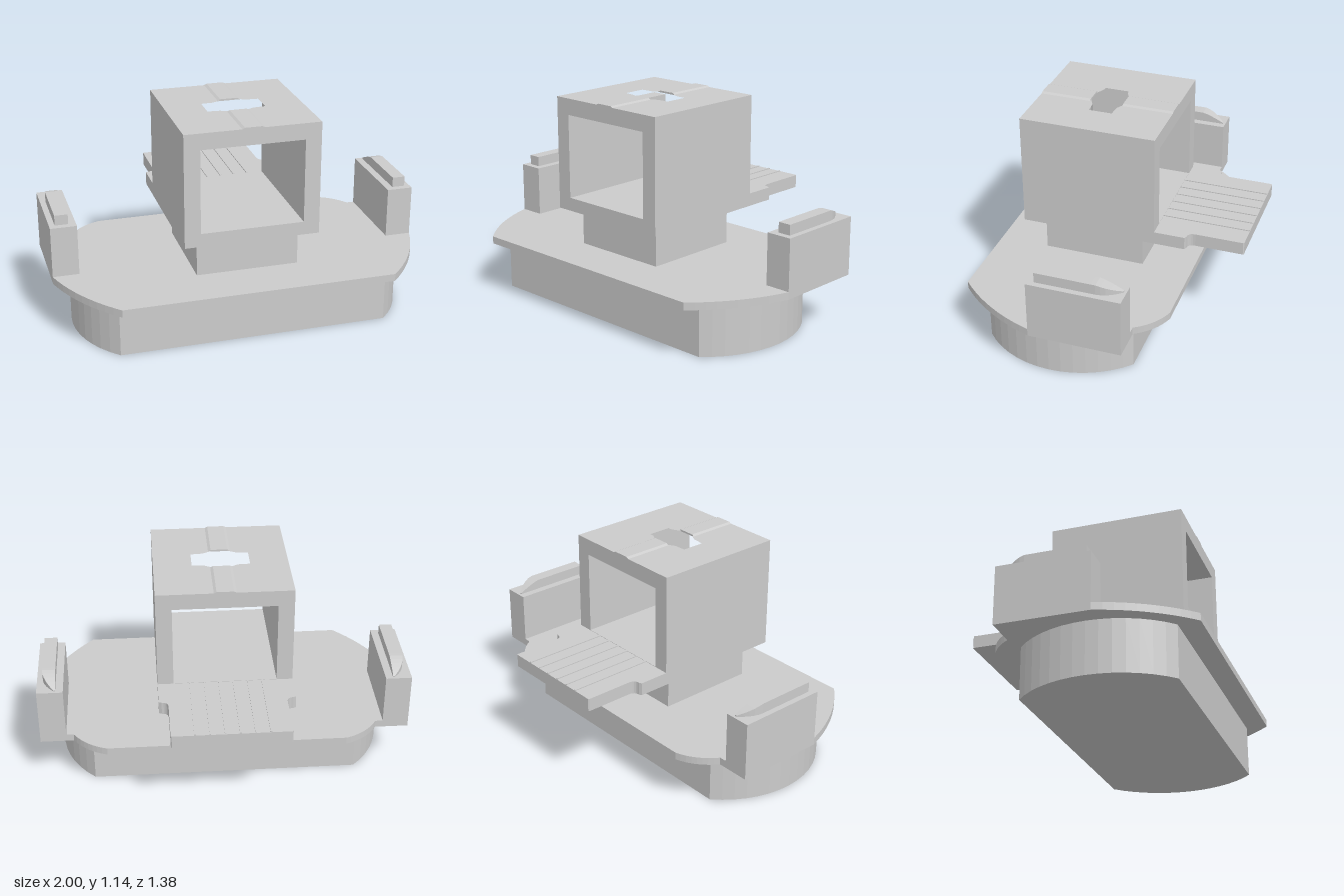
import * as THREE from 'three';

const material = new THREE.MeshStandardMaterial({ color: 0xcccccc, flatShading: true });

export function createModel() {
  const model = new THREE.Group();

  const add = (name, geometry) => {
    const mesh = new THREE.Mesh(geometry, material);
    mesh.name = name;
    model.add(mesh);
    return mesh;
  };

  // Box given by its lower and upper limits on each axis
  const box = (name, x0, x1, y0, y1, z0, z1) =>
    add(name, new THREE.BoxGeometry(x1 - x0, y1 - y0, z1 - z0)
      .translate((x0 + x1) / 2, (y0 + y1) / 2, (z0 + z1) / 2));

  // Plan outline (x, z) extruded from y0 up to y1
  const slab = (name, shape, y0, y1) =>
    add(name, new THREE.ExtrudeGeometry(shape, { depth: y1 - y0, bevelEnabled: false, curveSegments: 12 })
      .rotateX(Math.PI / 2).translate(0, y1, 0));

  // Closed outline mirrored across x = 0 from points on the +x side
  const mirrored = (half) => new THREE.Shape([
    ...half.map(([x, z]) => new THREE.Vector2(x, z)),
    ...half.slice().reverse().map(([x, z]) => new THREE.Vector2(-x, z)),
  ]);

  // Points along a quadratic curve from a to b, pulled towards c
  const bend = (a, c, b, n = 8) => new THREE.QuadraticBezierCurve(
    new THREE.Vector2(...a), new THREE.Vector2(...c), new THREE.Vector2(...b),
  ).getPoints(n).map((p) => [p.x, p.y]);

  // Plinth with bowed ends
  const ends = [];
  const sweep = Math.asin(0.4025 / 0.54);
  for (let i = 0; i <= 14; i++) {
    const a = sweep * (1 - i / 7);
    ends.push([0.36 + 0.54 * Math.cos(a), 0.172 + 0.54 * Math.sin(a)]);
  }
  slab('plinth', mirrored(ends), 0, 0.28);

  // Flange plate
  slab('flangePlate', mirrored([
    ...bend([0.725, 0.69], [0.92, 0.5], [1, 0.235], 10),
    [1, -0.26],
    ...bend([0.82, -0.26], [0.755, -0.365], [0.64, -0.4]),
  ]), 0.28, 0.32);

  // Side blocks, each with a rib that tapers towards the back
  for (const s of [1, -1]) {
    const side = s > 0 ? 'left' : 'right';
    box(side + 'Block', s * 0.93 - 0.07, s * 0.93 + 0.07, 0.28, 0.595, -0.26, 0.235);

    const rib = new THREE.BoxGeometry(0.07, 0.055, 0.445, 1, 1, 18);
    rib.translate(s * 0.935, 0.6225, -0.0225);
    const p = rib.attributes.position;
    for (let i = 0; i < p.count; i++) {
      const t = THREE.MathUtils.clamp((-0.12 - p.getZ(i)) / 0.125, 0, 1);
      if (p.getX(i) * s > 0.935) p.setX(i, s * (0.97 - 0.06 * t * t));
      if (p.getY(i) > 0.62) p.setY(i, 0.65 - 0.048 * Math.pow(t, 1.3));
    }
    rib.computeVertexNormals();
    add(side + 'Rib', rib);
  }

  // Neck
  box('neck', -0.275, 0.275, 0.32, 0.525, -0.13, 0.42);

  // Square sleeve: floor, walls and a roof with a shaped slot
  box('sleeveFloor', -0.36, 0.36, 0.525, 0.597, -0.22, 0.51);
  box('sleeveLeftWall', 0.275, 0.36, 0.597, 1.05, -0.22, 0.51);
  box('sleeveRightWall', -0.36, -0.275, 0.597, 1.05, -0.22, 0.51);
  const roof = mirrored([[0.36, 0.51], [0.36, -0.22]]);
  roof.holes.push(mirrored([
    [0, 0.245], [0.035, 0.238], [0.09, 0.21], [0.155, 0.205],
    [0.155, 0.08], [0.09, 0.077], [0.035, 0.047], [0, 0.04],
  ].slice(0, 8)));
  // Drop the doubled centre points of the slot
  roof.holes[0] = new THREE.Path(roof.holes[0].getPoints().filter(
    (q, i, all) => all.findIndex((r) => r.distanceTo(q) < 1e-6) === i));
  slab('sleeveRoof', roof, 1.05, 1.138);

  // Low crown along the roof, in front of and behind the slot
  const crown = new THREE.Shape([[-0.065, 1.135], [0.065, 1.135], [0.045, 1.145], [-0.045, 1.145]]
    .map(([x, y]) => new THREE.Vector2(x, y)));
  for (const [name, z0, z1] of [['frontCrown', 0.235, 0.51], ['backCrown', -0.22, 0.055]]) {
    add(name, new THREE.ExtrudeGeometry(crown, { depth: z1 - z0, bevelEnabled: false }).translate(0, 0, z0));
  }

  // Back tab with small fillets where it narrows
  slab('backTab', mirrored([
    [0.36, -0.22], [0.36, -0.385],
    ...bend([0.345, -0.392], [0.31, -0.392], [0.31, -0.43], 6),
    [0.31, -0.685], [0.305, -0.69],
  ]), 0.525, 0.595);

  // Grip lines on the tab
  for (let i = 0; i < 6; i++) {
    const x = -0.197 + i * 0.077;
    box('gripLine', x - 0.004, x + 0.004, 0.593, 0.6, -0.688, -0.22);
  }

  return model;
}
